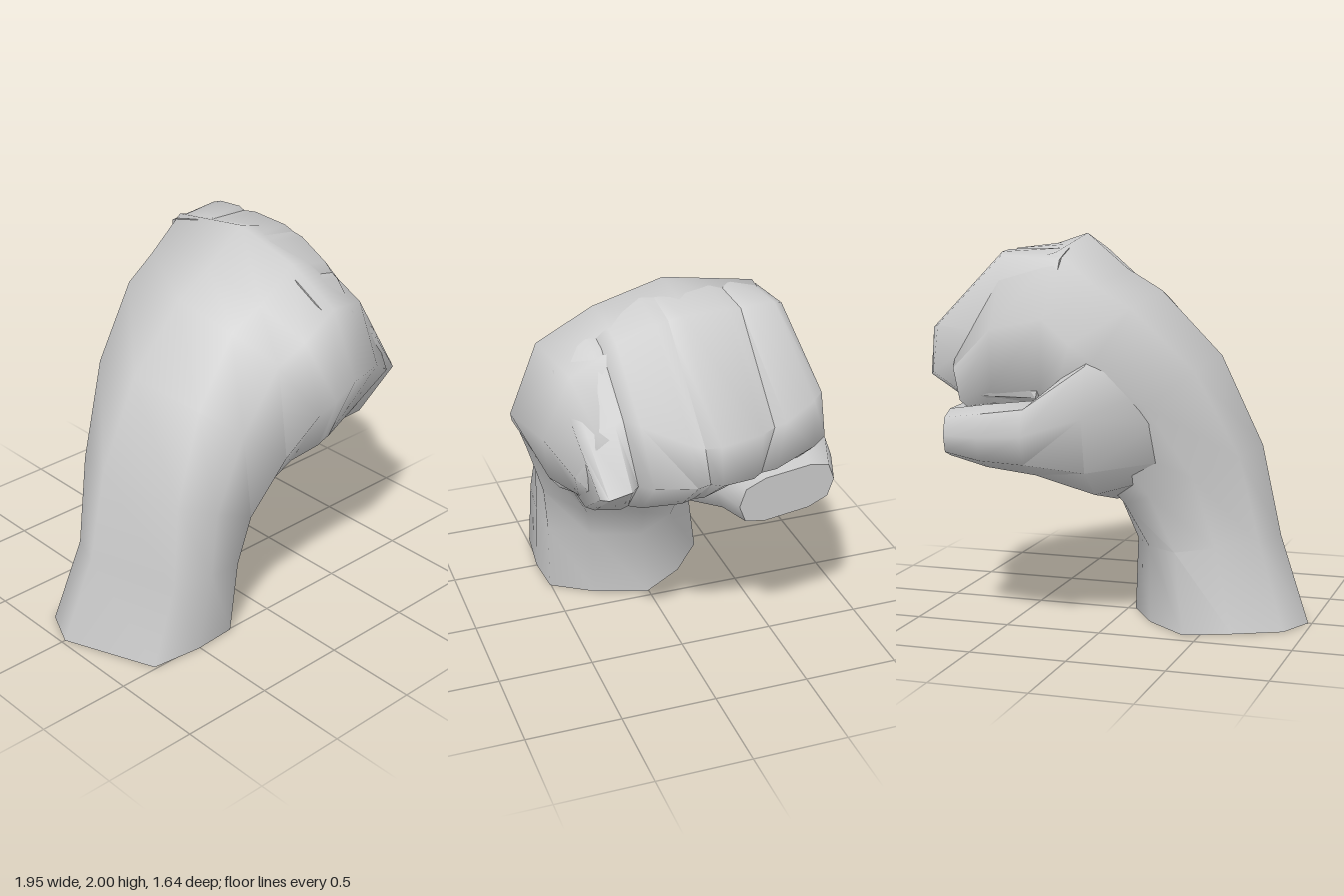
import * as THREE from 'three';
import { toCreasedNormals } from 'three/addons/utils/BufferGeometryUtils.js';

const material = new THREE.MeshStandardMaterial({ color: 0xcccccc });
const lerp = THREE.MathUtils.lerp;

// Closed skin over a list of rings (arrays of [x, y, z]) with fan caps, turned to face outward
function loft(name, rings, crease) {
  const n = rings[0].length;
  const points = rings.flat();
  const index = [];
  for (let r = 0; r < rings.length - 1; r++) {
    for (let i = 0; i < n; i++) {
      const a = r * n + i, b = r * n + (i + 1) % n;
      index.push(a, b, b + n, a, b + n, a + n);
    }
  }
  for (const [ring, start, first] of [[rings[0], 0, true], [rings.at(-1), (rings.length - 1) * n, false]]) {
    const c = points.length;
    points.push([0, 1, 2].map(k => ring.reduce((s, p) => s + p[k], 0) / n));
    for (let i = 0; i < n; i++) {
      const a = start + i, b = start + (i + 1) % n;
      index.push(...(first ? [c, b, a] : [c, a, b]));
    }
  }
  // Signed volume decides the winding
  const v = points.map(p => new THREE.Vector3(...p));
  let volume = 0;
  for (let i = 0; i < index.length; i += 3) {
    volume += v[index[i]].dot(v[index[i + 1]].clone().cross(v[index[i + 2]]));
  }
  if (volume < 0) index.reverse();
  const geometry = new THREE.BufferGeometry().setFromPoints(v);
  geometry.setIndex(index);
  const mesh = new THREE.Mesh(toCreasedNormals(geometry, crease), material);
  mesh.name = name;
  return mesh;
}

// Unit cross-sections: [outer to inner, right to left], for the wrist and for the fist
const wristOutline = [[-1, -0.12], [-0.81, -0.55], [-0.3, -0.8], [0.2, -1], [0.68, -0.6],
  [1, -0.1], [0.8, 0.5], [0.5, 0.97], [0, 1], [-0.58, 0.93]];
const fistOutline = [[-1, -0.1], [-0.85, -0.75], [-0.2, -1], [0.45, -0.97], [0.95, -0.6],
  [1, 0], [0.97, 0.75], [0.2, 1], [-0.5, 0.8], [-0.8, 0.4]];

// Ring from an outer point to an inner point over a z range, blended from wrist to fist
function armRing([ox, oy, ix, iy, zMin, zMax, blend]) {
  return wristOutline.map((p, i) => {
    const [u, w] = [0, 1].map(k => lerp(p[k], fistOutline[i][k], blend));
    return [lerp(ox, ix, (u + 1) / 2), lerp(oy, iy, (u + 1) / 2), lerp(zMin, zMax, (w + 1) / 2)];
  });
}

// Upright rounded ring across the thumb, raised by tilt on its outer side
function thumbRing([x, yMin, yMax, zMin, zMax, tilt, lean]) {
  const soft = t => Math.sign(t) * Math.abs(t) ** 0.65;
  return Array.from({ length: 10 }, (_, i) => {
    const a = i / 10 * Math.PI * 2;
    const c = soft(Math.cos(a)), s = soft(Math.sin(a));
    return [x + c * lean, lerp(yMin, yMax, (s + 1) / 2) - c * tilt, lerp(zMin, zMax, (c + 1) / 2)];
  });
}

// Curled finger between two side profiles, pinched at each side to leave a groove
function finger(name, profile0, profile1) {
  const rings = [[0, 0.95], [0.2, 1], [0.8, 1], [1, 0.95]].map(([t, size]) =>
    profile0.map((p, i) => {
      const [x, y, z] = p.map((value, k) => lerp(value, profile1[i][k], t));
      return [0.35 + (x - 0.35) * size, 1.42 + (y - 1.42) * (size + 1) / 2, z];
    }));
  return loft(name, rings, 1.25);
}

export function createModel() {
  const group = new THREE.Group();

  // Forearm bending over into the palm and the back of the hand
  group.add(loft('forearmAndPalm', [
    [-0.98, 0, -0.04, 0, -0.41, 0.52, 0],
    [-0.82, 0.45, -0.04, 0.38, -0.34, 0.53, 0],
    [-0.72, 0.92, 0.05, 0.57, -0.38, 0.56, 0.3],
    [-0.5, 1.38, 0.2, 0.82, -0.49, 0.67, 0.7],
    [-0.18, 1.71, 0.27, 0.93, -0.59, 0.75, 1],
    [0.01, 1.82, 0.27, 0.97, -0.62, 0.79, 1],
    [0.23, 2, 0.28, 1, -0.63, 0.82, 1],
    [0.52, 1.9, 0.52, 1.02, -0.65, 0.73, 1],
    [0.76, 1.55, 0.68, 1.04, -0.62, 0.63, 1],
  ].map(armRing), 1.25));

  // Side profiles at the finger boundaries: knuckle, fold, tip, underside
  const profiles = [
    [[0.2, 1.74, 0.64], [0.42, 1.68, 0.64], [0.68, 1.42, 0.6], [0.88, 1.18, 0.55], [0.62, 1, 0.55], [0.3, 1, 0.56]],
    [[0.2, 1.86, 0.42], [0.5, 1.8, 0.42], [0.74, 1.52, 0.39], [0.88, 1.22, 0.36], [0.68, 1, 0.35], [0.3, 1, 0.35]],
    [[0.23, 1.97, 0.1], [0.54, 1.92, 0.1], [0.98, 1.42, 0.06], [0.98, 1.22, 0.03], [0.72, 1, 0.02], [0.3, 1, 0.02]],
    [[0.22, 1.95, -0.26], [0.54, 1.93, -0.27], [0.95, 1.46, -0.3], [0.95, 1.22, -0.24], [0.72, 1.08, -0.2], [0.3, 1.06, -0.2]],
    [[0.2, 1.9, -0.48], [0.52, 1.92, -0.49], [0.85, 1.56, -0.58], [0.87, 1.32, -0.6], [0.7, 1.2, -0.58], [0.3, 1.2, -0.58]],
  ];
  ['littleFinger', 'ringFinger', 'middleFinger', 'indexFinger'].forEach((name, i) => {
    group.add(finger(name, profiles[i], profiles[i + 1]));
  });

  // Thumb reaching forward below the index finger
  group.add(loft('thumb', [
    [-0.28, 0.75, 1.3, -0.4, 0.1, 0.05, 0],
    [0.03, 0.65, 1.4, -0.68, 0.12, 0.1, 0],
    [0.3, 0.78, 1.17, -0.82, 0, 0.07, 0],
    [0.56, 0.83, 1.16, -0.79, -0.14, 0.03, 0.02],
    [0.79, 0.88, 1.13, -0.71, -0.17, 0.01, 0.04],
  ].map(thumbRing), 1));

  return group;
}
